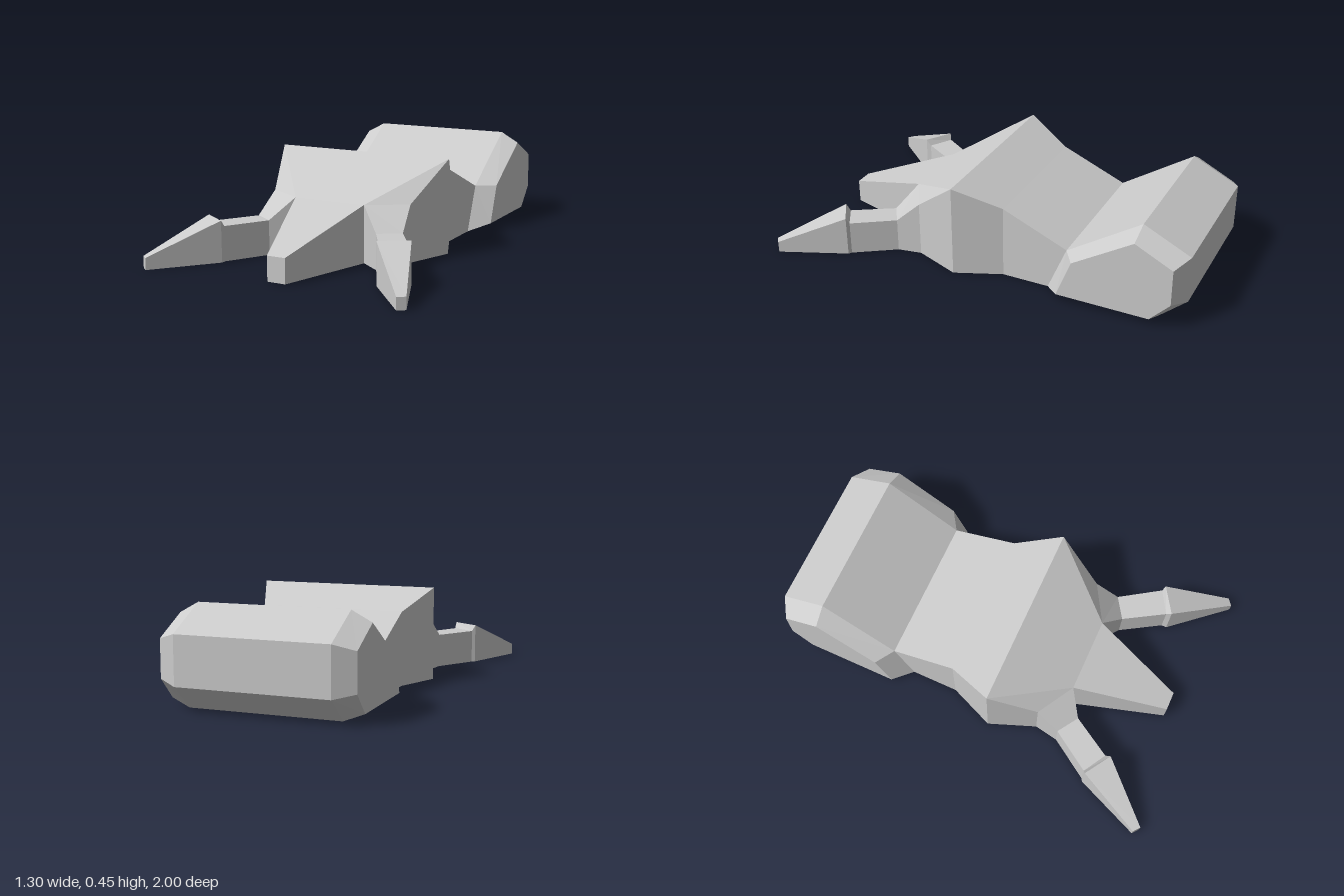
import * as THREE from 'three';

const material = new THREE.MeshStandardMaterial({ color: 0xcccccc, flatShading: true });

// Convex polygons, counter-clockwise from outside, to a faceted mesh
function meshFrom(name, polygons) {
  const pos = [];
  for (const p of polygons) {
    for (let i = 1; i < p.length - 1; i++) pos.push(...p[0], ...p[i], ...p[i + 1]);
  }
  const geometry = new THREE.BufferGeometry();
  geometry.setAttribute('position', new THREE.Float32BufferAttribute(pos, 3));
  geometry.computeVertexNormals();
  const mesh = new THREE.Mesh(geometry, material);
  mesh.name = name;
  return mesh;
}

const mirror = polygons => polygons.map(p => p.map(([x, y, z]) => [-x, y, z]).reverse());
const flip = ([x, y, z]) => [-x, y, z];

// Where the body meets the heel
const JOIN_Z = -0.42, JOIN_FLOOR_Z = -0.33;
const drop = ([x, , z]) => [x, 0, z === JOIN_Z ? JOIN_FLOOR_Z : z];

// Heel: a six-sided bar across x with chamfered ends, open where the body joins
function makeHeel() {
  const inner = [[0, JOIN_FLOOR_Z], [0.22, JOIN_Z], [0.45, -0.775], [0.34, -1], [0.115, -1], [0, -0.87]]
    .map(([y, z]) => [0.355, y, z]);
  const outer = [[0.035, -0.41], [0.22, -0.48], [0.4, -0.77], [0.31, -0.95], [0.135, -0.95], [0.035, -0.855]]
    .map(([y, z]) => [0.447, y, z]);
  const end = [[...outer].reverse()], span = [];
  for (let i = 0; i < 6; i++) {
    const j = (i + 1) % 6;
    end.push([inner[i], inner[j], outer[j], outer[i]]);
    if (i > 0) span.push([flip(inner[i]), flip(inner[j]), inner[j], inner[i]]);
  }
  // Orient every face away from the middle of the bar
  const centre = new THREE.Vector3(0, 0.2, -0.7);
  const outward = p => {
    const [a, b, c] = p.map(v => new THREE.Vector3(...v));
    const n = b.clone().sub(a).cross(c.clone().sub(a));
    return n.dot(a.sub(centre)) < 0 ? [...p].reverse() : p;
  };
  return meshFrom('heel', [...end, ...mirror(end), ...span].map(outward));
}

export function createModel() {
  const group = new THREE.Group();
  group.name = 'clawedFoot';

  // Shared top corners on the left side
  const back = [0.355, 0.22, JOIN_Z], waist = [0.355, 0.355, -0.1];
  const ridge = [0.446, 0.45, 0.12], web = [0.18, 0.27, 0.45];
  const shoulder = [0.36, 0.27, 0.345];
  const rootIn = [0.28, 0.165, 0.525], rootOut = [0.38, 0.165, 0.46];
  const jointIn = [0.395, 0.165, 0.715], jointOut = [0.505, 0.165, 0.65];
  const clawIn = [0.395, 0.195, 0.74], clawOut = [0.52, 0.195, 0.66];
  const tipIn = [0.62, 0.055, 1], tipOut = [0.652, 0.055, 0.975];
  const middleTip = [0.045, 0.115, 0.9];

  const across = (a, b) => [flip(a), flip(b), b, a];
  const shoulderTop = [[ridge, web, shoulder], [web, rootIn, rootOut, shoulder]];
  const toeTop = [
    [rootIn, jointIn, jointOut, rootOut],
    [jointIn, clawIn, clawOut, jointOut],
    [clawIn, tipIn, tipOut, clawOut],
  ];

  // Upper faces of each part
  const tops = {
    body: [across(back, waist), across(waist, ridge), across(ridge, web),
      ...shoulderTop, ...mirror(shoulderTop)],
    middleToe: [across(web, middleTip)],
    leftToe: toeTop,
    rightToe: mirror(toeTop),
  };

  // Open edges get a wall to the ground; shared edges and the heel joint do not
  const key = (a, b) => a.join() + '|' + b.join();
  const edges = new Set([key(flip(back), back)]);
  for (const polygons of Object.values(tops)) {
    for (const p of polygons) p.forEach((a, i) => edges.add(key(a, p[(i + 1) % p.length])));
  }
  for (const [name, polygons] of Object.entries(tops)) {
    const faces = [];
    for (const p of polygons) {
      faces.push(p, p.map(drop).reverse());
      p.forEach((a, i) => {
        const b = p[(i + 1) % p.length];
        if (!edges.has(key(b, a))) faces.push([a, drop(a), drop(b), b]);
      });
    }
    group.add(meshFrom(name, faces));
  }

  group.add(makeHeel());
  return group;
}
